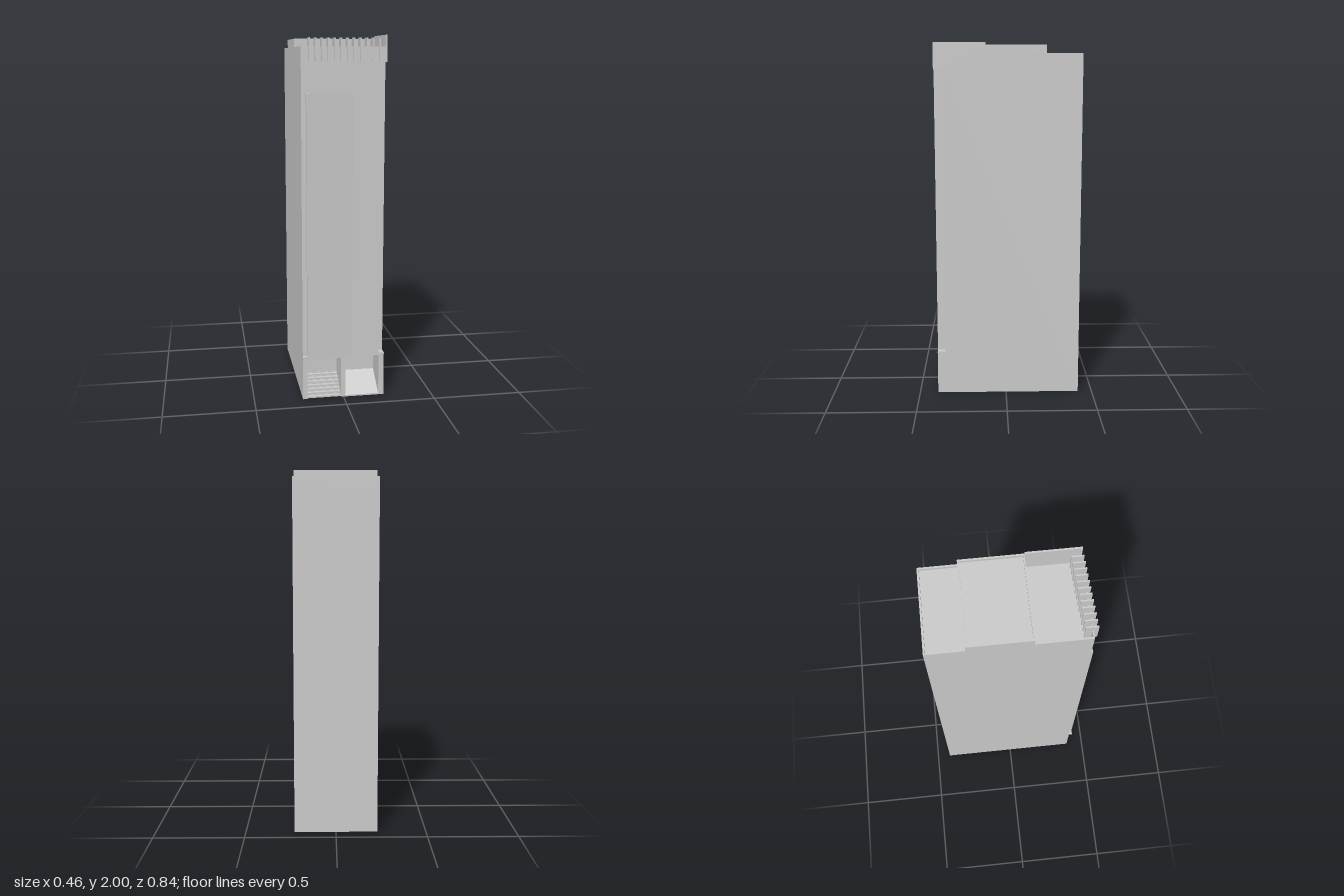
import * as THREE from 'three';

const mat = new THREE.MeshStandardMaterial({ color: 0xcccccc, side: THREE.DoubleSide });

export function createModel() {
  const model = new THREE.Group();

  function add(name, geometry, parent = model) {
    const mesh = new THREE.Mesh(geometry, mat);
    mesh.name = name;
    parent.add(mesh);
    return mesh;
  }

  // Box given by its two corners
  function box(name, x0, x1, y0, y1, z0, z1, parent) {
    const g = new THREE.BoxGeometry(x1 - x0, y1 - y0, z1 - z0);
    g.translate((x0 + x1) / 2, (y0 + y1) / 2, (z0 + z1) / 2);
    return add(name, g, parent);
  }

  // Prism with a (z, y) outline running from x0 to x1
  function prism(name, points, x0, x1) {
    const shape = new THREE.Shape(points.map(([z, y]) => new THREE.Vector2(-z, y)));
    const g = new THREE.ExtrudeGeometry(shape, { depth: x1 - x0, bevelEnabled: false });
    g.rotateY(Math.PI / 2).translate(x0, 0, 0);
    return add(name, g);
  }

  const back = -0.42, front = 0.395, stepBack = -0.22, stepFront = 0.11;
  const floors = [1.925, 1.97, 1.86];

  // Stepped top outline from back to front
  const steps = (a, b, c) => [
    [back, a], [stepBack, a], [stepBack, b], [stepFront, b], [stepFront, c], [front, c],
  ];
  const notch = [[front, 1.86], [0.35, 1.86], [0.35, 0.25], [front, 0.25]];

  // Core with recessed top floors and a hollow at the lower front
  prism('housing', [
    [back, 0], ...steps(...floors), [front, 0.235], [0.25, 0.235], [0.25, 0],
  ], -0.205, 0.2);

  // Side walls: the right-hand one has the long front rebate
  prism('leftOuterWall', [[back, 0], ...steps(1.94, 1.985, 2), ...notch, [front, 0]], 0.22, 0.23);
  prism('leftInnerWall', [
    [back, 0], ...steps(...floors).slice(0, 5), ...notch, [front, 0],
  ], 0.2, 0.22);
  prism('rightOuterWall', [[back, 0], ...steps(1.94, 1.985, 1.94), [front, 0]], -0.23, -0.22);
  prism('rightInnerWall', [[back, 0], ...steps(...floors), [front, 0]], -0.22, -0.205);

  // Rims across the stepped top
  const rims = [
    [back, back + 0.01, 1.94], [stepBack, stepBack + 0.007, 1.985],
    [stepFront - 0.007, stepFront, 1.985], [front - 0.006, front, 1.94],
  ];
  for (const [z0, z1, top] of rims) box('topRim', -0.22, 0.22, 1.85, top, z0, z1);

  // Row of cooling fins following the slightly slanted front
  const fins = new THREE.Group();
  fins.name = 'ventFins';
  model.add(fins);
  for (let i = 0; i < 12; i++) {
    const x = -0.187 + i * 0.0342, z = 0.418 - i * 0.0017;
    box('fin', x - 0.004, x + 0.004, 1.865, 1.985, z - 0.064, z, fins);
  }

  // Wedge-shaped front door that fades into the front, and its lower lip
  function wedge(name, x0, x1, y0, y1) {
    const s = new THREE.Shape([
      new THREE.Vector2(x0, -front), new THREE.Vector2(x1, -front), new THREE.Vector2(x0, -0.415),
    ]);
    const g = new THREE.ExtrudeGeometry(s, { depth: y1 - y0, bevelEnabled: false });
    g.rotateX(-Math.PI / 2).translate(0, y0, 0);
    g.scale(1, 1, 1);
    return add(name, g);
  }
  wedge('frontDoor', -0.205, 0.05, 0.235, 1.7);
  wedge('doorLip', -0.23, 0.05, 0.235, 0.255);

  // Lower compartments: divider, plain ramp and louvred ramp
  box('divider', -0.015, 0.01, 0, 0.235, 0.25, front);
  prism('plainRamp', [[front, 0], [front, 0.008], [0.25, 0.1], [0.25, 0.092]], 0.01, 0.2);
  const louvres = new THREE.Group();
  louvres.name = 'louvres';
  model.add(louvres);
  const count = 7;
  for (let i = 0; i < count; i++) {
    const y = 0.004 + i * 0.0135, z = front - i * 0.0207;
    box('louvre', -0.205, -0.015, y, y + 0.009, z - 0.0207, z, louvres);
    box('louvreRiser', -0.205, -0.015, y, y + 0.0135, z - 0.0207, z - 0.0187, louvres);
  }

  return model;
}
